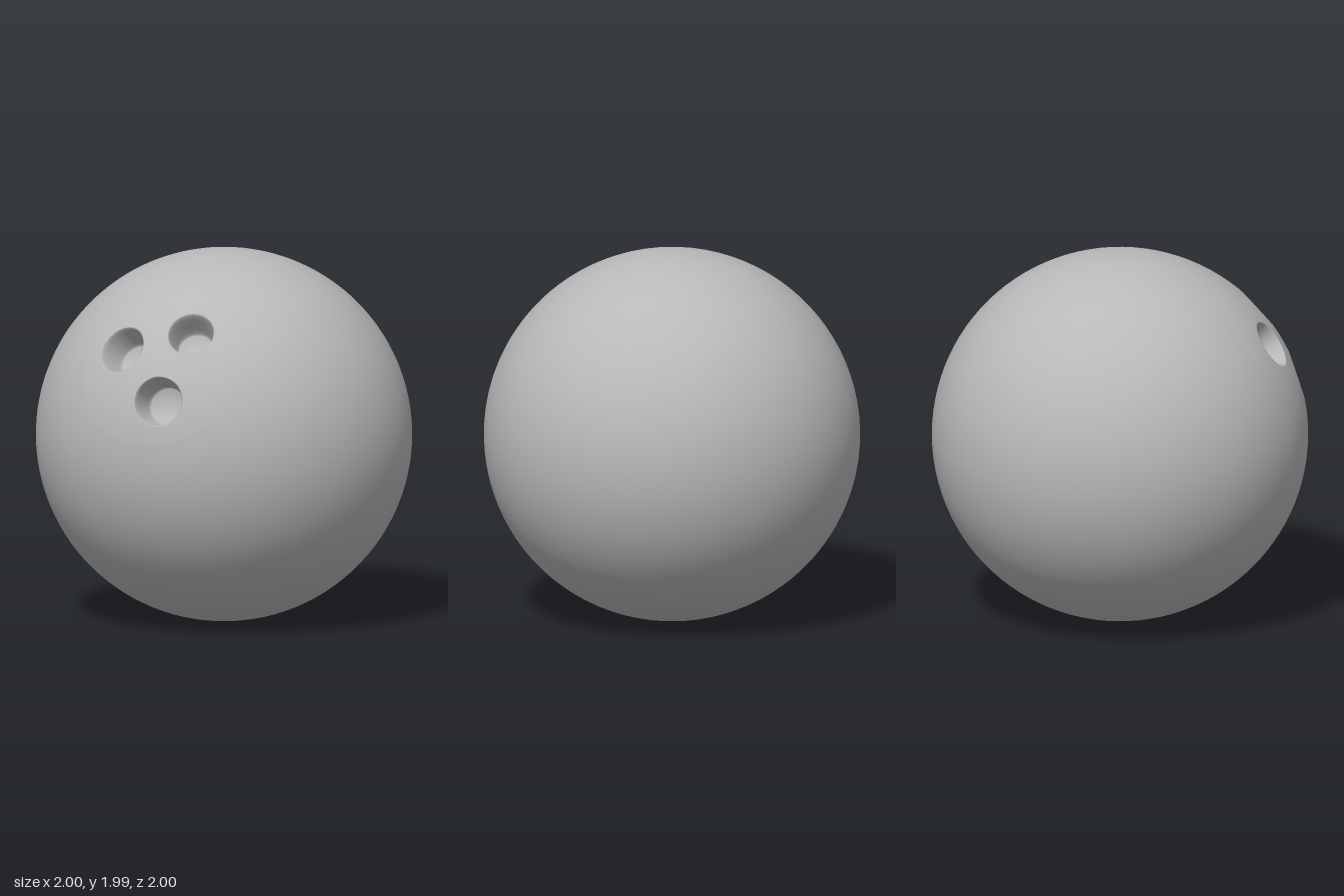
import * as THREE from 'three';
import { mergeVertices } from 'three/addons/utils/BufferGeometryUtils.js';

// Finger holes: axis from the ball's centre, and rim radius
const HOLES = [
  { axis: new THREE.Vector3(-0.26, 0.55, 0.79).normalize(), radius: 0.13 },
  { axis: new THREE.Vector3(0.12, 0.65, 0.75).normalize(), radius: 0.122 },
  { axis: new THREE.Vector3(0.012, 0.305, 0.95).normalize(), radius: 0.132 },
];
const DEPTH = 0.17;
const FLOOR = 0.78; // floor radius as a share of the rim radius

// Unit sphere whose finely divided pole faces the finger holes
function ballGeometry() {
  const cap = 0.48, capRows = 100, bodyRows = 44;
  const profile = [];
  const add = (a) => profile.push(new THREE.Vector2(Math.max(0, Math.sin(a)), Math.cos(a)));
  for (let i = 0; i < bodyRows; i++) add(Math.PI + (cap - Math.PI) * (i / bodyRows));
  for (let i = 0; i <= capRows; i++) add(cap * (1 - i / capRows));
  const geometry = new THREE.LatheGeometry(profile, 240);
  const pole = new THREE.Vector3();
  HOLES.forEach((h) => pole.add(h.axis));
  geometry.applyQuaternion(
    new THREE.Quaternion().setFromUnitVectors(new THREE.Vector3(0, 1, 0), pole.normalize()));
  return geometry;
}

// Push the surface inside a rim down into a tapered wall and a rounded floor
function sinkHole(p, { axis, radius }) {
  const share = p.angleTo(axis) / Math.asin(radius);
  if (share >= 1) return;
  const out = p.clone().addScaledVector(axis, -p.dot(axis)).normalize();
  const rim = Math.sqrt(1 - radius * radius);
  const bottom = rim - DEPTH + 0.025;
  let r, h;
  if (share < 0.8) {
    const s = share / 0.8;
    r = radius * FLOOR * s;
    h = bottom - 0.025 * (1 - s * s);
  } else {
    const k = (share - 0.8) / 0.2;
    r = radius * (FLOOR + (1 - FLOOR) * k);
    h = bottom + (rim - bottom) * k;
  }
  p.copy(axis).multiplyScalar(h).addScaledVector(out, r);
}

export function createModel() {
  const group = new THREE.Group();
  group.name = 'bowlingBall';
  const grey = new THREE.MeshStandardMaterial({ color: 0xb8b8b8 });
  grey.name = 'grey';

  let geometry = ballGeometry();
  const position = geometry.attributes.position;
  const p = new THREE.Vector3();
  for (let i = 0; i < position.count; i++) {
    p.fromBufferAttribute(position, i);
    for (const hole of HOLES) sinkHole(p, hole);
    position.setXYZ(i, p.x, p.y, p.z);
  }

  // Weld the seam so the shading runs smoothly all round
  geometry.deleteAttribute('uv');
  geometry.deleteAttribute('normal');
  geometry = mergeVertices(geometry, 1e-5);
  geometry.computeVertexNormals();

  const ball = new THREE.Mesh(geometry, grey);
  ball.name = 'ballWithFingerHoles';
  ball.scale.y = 0.995;
  ball.position.y = 0.995;
  group.add(ball);
  return group;
}
